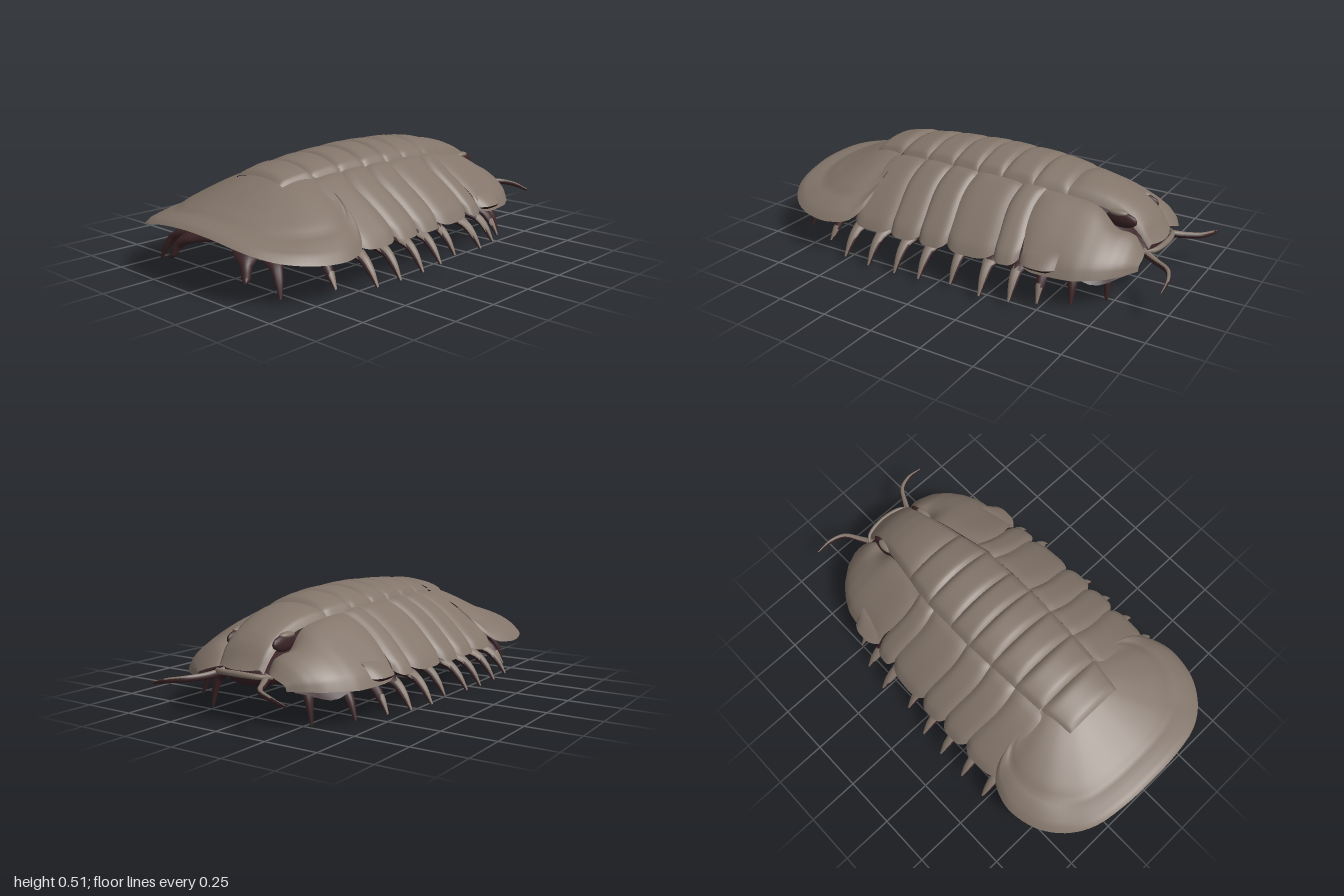
import * as THREE from 'three';

const mat = (name, color) => {
  const m = new THREE.MeshStandardMaterial({ color });
  m.name = name;
  return m;
};

// body stations: z, crown height, rim height, half width, half width of the centre lobe
const STATIONS = [
  [-0.89, 0.21, 0.19, 0.16, 0.11], [-0.84, 0.25, 0.19, 0.25, 0.12], [-0.81, 0.3, 0.19, 0.31, 0.125],
  [-0.76, 0.345, 0.187, 0.37, 0.128], [-0.7, 0.38, 0.185, 0.415, 0.13], [-0.63, 0.41, 0.18, 0.45, 0.14],
  [-0.58, 0.425, 0.18, 0.46, 0.15], [-0.46, 0.455, 0.18, 0.475, 0.17],
  [-0.3, 0.48, 0.18, 0.5, 0.2], [0, 0.49, 0.18, 0.52, 0.205], [0.3, 0.475, 0.18, 0.525, 0.19],
  [0.44, 0.455, 0.18, 0.52, 0.18], [0.6, 0.42, 0.185, 0.52, 0.16],
];
function station(z) {
  let i = 0;
  while (i < STATIONS.length - 2 && z > STATIONS[i + 1][0]) i++;
  const a = STATIONS[i], b = STATIONS[i + 1];
  const t = THREE.MathUtils.clamp((z - a[0]) / (b[0] - a[0]), 0, 1);
  const [, top, rim, w, axis] = a.map((v, k) => v + (b[k] - v) * t);
  return { top, rim, w, axis };
}
function dome(x, z) {
  const { top, rim, w } = station(z);
  return rim + (top - rim) * (1 - Math.min(1, Math.abs(x) / w) ** 1.9);
}

// grid surface from fn(u, v); facing 1 or -1 turns it up or down, 0 keeps its own winding
function surface(fn, nu, nv, facing) {
  const pos = [], idx = [];
  for (let j = 0; j <= nv; j++) for (let i = 0; i <= nu; i++) pos.push(...fn(i / nu, j / nv));
  for (let j = 0; j < nv; j++) for (let i = 0; i < nu; i++) {
    const a = j * (nu + 1) + i, b = a + 1, c = a + nu + 1, d = c + 1;
    idx.push(a, c, b, b, c, d);
  }
  const g = new THREE.BufferGeometry();
  g.setAttribute('position', new THREE.Float32BufferAttribute(pos, 3));
  g.setIndex(idx);
  g.computeVertexNormals();
  const n = g.attributes.normal;
  let sum = 0;
  for (let i = 0; i < n.count; i++) sum += n.getY(i);
  if (sum * facing < 0) {
    g.setIndex(idx.reverse());
    g.computeVertexNormals();
  }
  return g;
}

// tapered loft with elliptical rings; radii are [width, thickness] per point
function loft(points, radii, steps = 16, sides = 10) {
  const curve = new THREE.CatmullRomCurve3(points.map((p) => new THREE.Vector3(...p)));
  const dir = points.at(-1).map((v, k) => v - points[0][k]);
  const side = new THREE.Vector3(-dir[2], 0, dir[0]).normalize();
  return surface((u, v) => {
    const p = curve.getPoint(v), t = curve.getTangent(v);
    const up = new THREE.Vector3().crossVectors(side, t).normalize();
    const f = v * (radii.length - 1), k = Math.min(radii.length - 2, Math.floor(f));
    const [w, h] = radii[k].map((r, n) => THREE.MathUtils.lerp(r, radii[k + 1][n], f - k));
    const a = u * Math.PI * 2;
    p.addScaledVector(side, Math.cos(a) * w).addScaledVector(up, Math.sin(a) * h);
    return p.toArray();
  }, sides, steps, 0);
}

// sort triangles into two material groups by a test on centre and normal
function twoTone(geo, isShell) {
  const p = geo.attributes.position, src = geo.index.array, parts = [[], []];
  const tri = new THREE.Triangle(), mid = new THREE.Vector3(), nor = new THREE.Vector3();
  for (let i = 0; i < src.length; i += 3) {
    tri.setFromAttributeAndIndices(p, src[i], src[i + 1], src[i + 2]);
    tri.getMidpoint(mid);
    tri.getNormal(nor);
    parts[isShell(mid, nor) ? 0 : 1].push(src[i], src[i + 1], src[i + 2]);
  }
  geo.setIndex([...parts[0], ...parts[1]]);
  geo.addGroup(0, parts[0].length, 0);
  geo.addGroup(parts[0].length, parts[1].length, 1);
  return geo;
}

export function createModel() {
  const model = new THREE.Group();
  model.name = 'armouredCrawler';
  const shell = mat('shell brown', 0x83756a);
  const dark = mat('underside maroon', 0x3a2326);
  dark.side = THREE.DoubleSide;

  const add = (name, geo, material) => {
    const m = new THREE.Mesh(geo, material);
    m.name = name;
    model.add(m);
    return m;
  };
  const blob = (name, material, position, radii) => {
    const m = add(name, new THREE.SphereGeometry(1, 20, 12), material);
    m.position.set(...position);
    m.scale.set(...radii);
  };
  // armour plate: brown outside, dark lens-shaped inside meeting it at the edges
  const plate = (name, fn, nu, nv) => {
    add(name, surface(fn, nu, nv, 1), shell);
    add(name + 'Inside', surface((u, v) => {
      const [x, y, z] = fn(u, v);
      const edge = Math.min(1, 8 * Math.min(u, 1 - u), 8 * Math.min(v, 1 - v));
      return [x, y - 0.025 * edge, z];
    }, nu, nv, -1), dark);
  };
  const bulge = (v, n = 4) => 1 - Math.abs(2 * v - 1) ** n;
  const lobeLift = (s, v) => 0.02 * bulge(v, 6) * (1 - 0.7 * s ** 4) - (Math.abs(s) === 1 ? 0.02 : 0);

  // centre lobe segments
  const A = [0.605, 0.44, 0.28, 0.13, -0.01, -0.14, -0.3, -0.46];
  for (let i = 0; i < A.length - 1; i++) {
    plate('centreSegment', (u, v) => {
      const z = THREE.MathUtils.lerp(A[i + 1], A[i], v), s = 2 * u - 1;
      const x = s * station(z).axis;
      return [x, dome(x, z) + lobeLift(s, v) + (i === 0 ? 0.01 : 0), z];
    }, 20, 12);
  }

  // head centre, rounded at the nose
  plate('headCentre', (u, v) => {
    const s = 2 * u - 1;
    const z = THREE.MathUtils.lerp(-0.87 + 0.03 * s * s, -0.46, v);
    const x = s * station(z).axis;
    return [x, dome(x, z) + lobeLift(s, v), z];
  }, 20, 20);
  add('noseBrim', loft([[-0.15, 0.2, -0.81], [-0.11, 0.208, -0.858], [0, 0.213, -0.878],
    [0.11, 0.208, -0.858], [0.15, 0.2, -0.81]],
  [[0.008, 0.008], [0.012, 0.012], [0.013, 0.013], [0.012, 0.012], [0.008, 0.008]]), shell);

  // side plates, cheeks and eyes
  const P = [0.5, 0.285, 0.13, -0.02, -0.255, -0.37];
  for (const s of [1, -1]) {
    for (let i = 0; i < P.length - 1; i++) {
      plate('sidePlate', (u, v) => {
        const zc = THREE.MathUtils.lerp(P[i + 1], P[i], v);
        const { axis, w } = station(zc);
        const outer = w - 0.035 * Math.abs(2 * v - 1) ** 4;
        const x = axis - 0.004 + (outer - axis + 0.004) * u;
        const z = zc + 0.012 * Math.sin(u * Math.PI * 1.5);
        const y = dome(x, zc) - 0.01 + 0.018 * bulge(v) * Math.min(1, 0.5 + 6 * u);
        return [s * x, y - 0.02 * u ** 30, z];
      }, 20, 14);
    }
    plate('cheek', (u, v) => {
      const zc = THREE.MathUtils.lerp(-0.845, -0.365, v);
      const { axis, w } = station(zc);
      const slot = Math.exp(-(((zc + 0.71) / 0.07) ** 2));
      const inner = axis + 0.012 * slot;
      const x = inner + (w - 0.02 * v ** 12 - inner) * u;
      const y = dome(x, zc) - 0.008 + 0.018 * bulge(v, 8) * bulge(u, 4) - 0.055 * slot * (1 - u) ** 4;
      const z = zc + 0.012 * Math.sin(u * Math.PI * 1.5) * v + 0.04 * (1 - u) ** 4 * (1 - v) ** 6
        - 0.03 * u ** 4 * v ** 4;
      return [s * x, y - 0.02 * u ** 30, z];
    }, 20, 28);
    // small lobe showing below the cheek
    plate('cheekLobe', (u, v) => {
      const x = 0.4 + (0.095 - 0.035 * Math.abs(2 * v - 1) ** 3) * u;
      return [s * x, 0.25 - 0.065 * u ** 1.5, -0.56 + 0.17 * v];
    }, 8, 10);
    blob('eyeSocket', dark, [s * 0.122, 0.325, -0.705], [0.02, 0.036, 0.075]);
    blob('eyeLobe', shell, [s * 0.126, 0.358, -0.69], [0.022, 0.014, 0.045]);
  }

  // tail shield with a flattened brim
  const half = [[0.35, 0.345, 0.435], [0.45, 0.268, 0.452], [0.52, 0.205, 0.505], [0.557, 0.19, 0.6],
    [0.555, 0.19, 0.69], [0.52, 0.2, 0.8], [0.44, 0.217, 0.9], [0.33, 0.245, 0.965], [0.16, 0.276, 0.995]];
  const rimCurve = new THREE.CatmullRomCurve3([...half, [0, 0.285, 1],
    ...half.map(([x, y, z]) => [-x, y, z]).reverse()].map((p) => new THREE.Vector3(...p)));
  plate('tailShield', (u, r) => {
    const p = rimCurve.getPoint(u), dx = p.x, dz = p.z - 0.435;
    const a = (dx * dx) / (dx * dx + dz * dz);
    const g = THREE.MathUtils.lerp(0.5 + 0.5 * Math.cos(Math.PI * r), 1 - r ** 1.8, a);
    const groove = 0.008 * Math.exp(-(((r - 0.79) / 0.04) ** 2));
    return [dx * r, p.y + (0.455 - p.y) * g - groove - 0.018 * r ** 60, 0.435 + dz * r];
  }, 64, 28);

  // dark lining under all the plates
  add('lining', surface((u, v) => {
    const z = THREE.MathUtils.lerp(-0.82, 0.5, v), x = (2 * u - 1) * station(z).w * 0.92;
    const slot = Math.exp(-(((z + 0.71) / 0.09) ** 2));
    return [x, dome(x, z) - 0.035 - 0.06 * slot, z];
  }, 24, 40, -1), dark);

  // ribbed belly
  for (let i = 0; i < 14; i++) {
    const k = i / 13, fat = Math.sin(Math.PI * (0.15 + 0.7 * k));
    blob('bellyRib', dark, [0, 0.2, -0.76 + 1.5 * k], [0.1 + 0.12 * fat, 0.05 + 0.02 * fat, 0.085]);
  }

  // legs: tip x, y, z and root z
  const LEGS = [[0.27, 0, -0.72, -0.62], [0.42, 0.02, -0.62, -0.52], [0.5, 0.03, -0.5, -0.43],
    [0.55, 0.03, -0.39, -0.33], [0.575, 0.03, -0.255, -0.2], [0.55, 0.03, -0.09, -0.07],
    [0.585, 0.03, 0.06, 0.06], [0.59, 0.025, 0.19, 0.19], [0.59, 0.025, 0.34, 0.32],
    [0.585, 0.03, 0.48, 0.45], [0.5, 0.04, 0.64, 0.56], [0.4, 0.03, 0.85, 0.66], [0.26, 0.08, 0.91, 0.72]];
  const blade = [[0.05, 0.03], [0.07, 0.03], [0.055, 0.026], [0.026, 0.02], [0.019, 0.016], [0.006, 0.006]];
  for (const s of [1, -1]) {
    for (const [x, y, z, z0] of LEGS) {
      const at = (f, h) => [s * (0.07 + (x - 0.07) * f), h, z0 + (z - z0) * f];
      const geo = loft([at(0, 0.18), at(0.35, 0.18), at(0.65, 0.165), at(0.83, 0.135),
        at(0.92, 0.09), at(1, y)], blade, 20);
      add('leg', twoTone(geo, (c, n) => Math.abs(c.x) > 0.47 && s * n.x * 0.7 + n.y * 0.7 > 0.4),
        [shell, dark]);
    }
    // feelers
    const feeler = loft([[s * 0.11, 0.2, -0.8], [s * 0.15, 0.185, -0.88], [s * 0.2, 0.18, -0.96],
      [s * 0.27, 0.17, -0.99], [s * 0.35, 0.15, -0.995]],
    [[0.02, 0.018], [0.016, 0.016], [0.011, 0.014], [0.009, 0.012], [0.004, 0.006]], 24);
    add('feeler', twoTone(feeler, (c, n) => n.y > 0.5), [shell, dark]);
  }
  return model;
}
